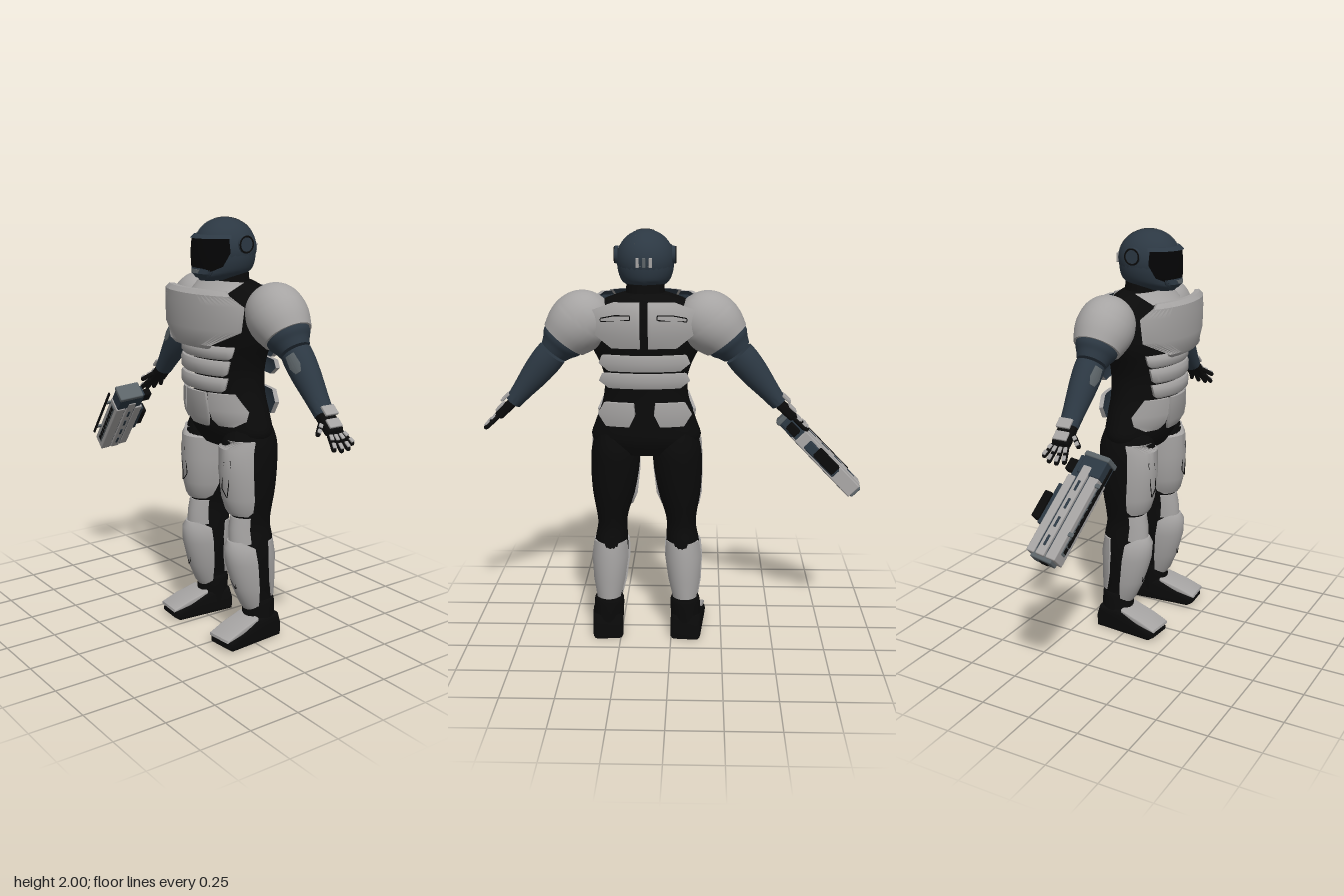
import * as THREE from 'three';
import { toCreasedNormals } from 'three/addons/utils/BufferGeometryUtils.js';
import { RoundedBoxGeometry } from 'three/addons/geometries/RoundedBoxGeometry.js';

const mat = (name, color, side = THREE.FrontSide) => {
  const m = new THREE.MeshStandardMaterial({ color, side });
  m.name = name;
  return m;
};
const grey = mat('armour grey', 0xa6a4a3);
const navy = mat('navy', 0x2c3843);
const black = mat('suit black', 0x0a0a0a);
const steel = mat('steel grey', 0x5c6468);
const visorMat = mat('visor black', 0x040405);
const D = Math.PI / 180;

function add(parent, name, geo, material, x = 0, y = 0, z = 0) {
  const m = new THREE.Mesh(geo, material);
  m.name = name;
  m.position.set(x, y, z);
  parent.add(m);
  return m;
}
const box = (w, h, d, r = 0.008) => new RoundedBoxGeometry(w, h, d, 2, Math.min(r, w / 3, h / 3, d / 3));

// Turns a list of quads into a geometry with creased normals
function fromQuads(quads, crease) {
  const pos = [];
  for (const [a, b, c, d] of quads) for (const p of [a, b, c, a, c, d]) pos.push(...p);
  const g = new THREE.BufferGeometry();
  g.setAttribute('position', new THREE.Float32BufferAttribute(pos, 3));
  return toCreasedNormals(g, crease);
}

// Curved plate from a point rule P(row, column, layer); the inner face takes the second material
function slab(P, nr, nc) {
  const outer = [], inner = [];
  for (let i = 0; i < nr; i++) for (let j = 0; j < nc; j++) {
    outer.push([P(i, j, 0), P(i + 1, j, 0), P(i + 1, j + 1, 0), P(i, j + 1, 0)]);
    inner.push([P(i, j, 1), P(i, j + 1, 1), P(i + 1, j + 1, 1), P(i + 1, j, 1)]);
  }
  for (let j = 0; j < nc; j++) {
    outer.push([P(0, j, 0), P(0, j + 1, 0), P(0, j + 1, 1), P(0, j, 1)]);
    outer.push([P(nr, j, 1), P(nr, j + 1, 1), P(nr, j + 1, 0), P(nr, j, 0)]);
  }
  for (let i = 0; i < nr; i++) {
    outer.push([P(i + 1, 0, 0), P(i, 0, 0), P(i, 0, 1), P(i + 1, 0, 1)]);
    outer.push([P(i + 1, nc, 1), P(i, nc, 1), P(i, nc, 0), P(i + 1, nc, 0)]);
  }
  const g = fromQuads([...outer, ...inner], 0.7);
  g.addGroup(0, outer.length * 6, 0);
  g.addGroup(outer.length * 6, inner.length * 6, 1);
  return g;
}

// Point on an elliptical row [y, cx, cz, rx, rz] at angle a (0 = front)
const onRow = ([y, cx, cz, rx, rz], a, t = 0) => [cx + (rx - t) * Math.sin(a), y, cz + (rz - t) * Math.cos(a)];

// Armour plate from rows [y, cx, cz, rx, rz, fromDeg, toDeg], top to bottom
function plate(parent, name, rows, s = 1, t = 0.015, mats = [grey, navy], n = 14) {
  const R = rows.map(([y, cx, cz, rx, rz, a, b]) => [y, s * cx, cz, rx, rz, s > 0 ? a : -b, s > 0 ? b : -a]);
  const P = (i, j, l) => onRow(R[i], (R[i][5] + (R[i][6] - R[i][5]) * j / n) * D, l * t);
  return add(parent, name, slab(P, R.length - 1, n), mats);
}

// Smooth closed body through elliptical rows, top to bottom
function loft(rows, s = 1, n = 28, k = 4) {
  const fine = [];
  const at = i => rows[Math.max(0, Math.min(rows.length - 1, i))];
  for (let i = 0; i < rows.length - 1; i++) for (let q = 0; q < k; q++) {
    const t = q / k;
    fine.push(at(i).map((p1, c) => {
      const p0 = at(i - 1)[c], p2 = at(i + 1)[c], p3 = at(i + 2)[c];
      return p1 + 0.5 * t * (p2 - p0 + t * (2 * p0 - 5 * p1 + 4 * p2 - p3 + t * (3 * (p1 - p2) + p3 - p0)));
    }));
  }
  fine.push(at(rows.length - 1));
  for (const r of fine) r[1] = s * Math.abs(r[1]) * Math.sign(r[1] || 1);
  const quads = [], last = fine.length - 1;
  const P = (i, j) => onRow(fine[i], (j % n) / n * 2 * Math.PI);
  const mid = i => [fine[i][1], fine[i][0], fine[i][2]];
  for (let j = 0; j < n; j++) {
    for (let i = 0; i < last; i++) quads.push([P(i, j), P(i + 1, j), P(i + 1, j + 1), P(i, j + 1)]);
    quads.push([mid(0), P(0, j), P(0, j + 1), mid(0)], [mid(last), P(last, j + 1), P(last, j), mid(last)]);
  }
  return fromQuads(quads, 0.9);
}

// Side profile (z, y) given a width across x
function sideExtrude(pts, width, bevel) {
  const g = new THREE.ExtrudeGeometry(new THREE.Shape(pts.map(p => new THREE.Vector2(...p))),
    { depth: width - 2 * bevel, bevelThickness: bevel, bevelSize: bevel, bevelOffset: -bevel, bevelSegments: 3 });
  g.translate(0, 0, bevel - width / 2).rotateY(-Math.PI / 2);
  return toCreasedNormals(g, 0.7);
}

function seam(parent, name, pts) {
  const c = new THREE.CatmullRomCurve3(pts.map(p => new THREE.Vector3(...p)), true, 'catmullrom', 0.02);
  add(parent, name, new THREE.TubeGeometry(c, 48, 0.0025, 4, true), black);
}

function head(body) {
  const g = new THREE.Group();
  g.name = 'head';
  body.add(g);
  const a = 0.135, b = 0.138, c = 0.152, cy = 1.862;
  add(g, 'helmetDome', new THREE.SphereGeometry(1, 36, 24).scale(a, b, c), navy, 0, cy, 0);
  add(g, 'helmetJaw', loft([[1.88, 0, 0, 0.133, 0.148], [1.82, 0, 0, 0.131, 0.147], [1.77, 0, 0.005, 0.115, 0.138],
    [1.745, 0, 0.025, 0.09, 0.12], [1.722, 0, 0.06, 0.05, 0.07]]), navy);
  plate(g, 'visor', [[1.915, 0, 0, 0.134, 0.158, -66, 66], [1.85, 0, 0, 0.14, 0.163, -68, 68],
    [1.79, 0, 0, 0.136, 0.162, -56, 56], [1.765, 0, 0, 0.13, 0.158, -32, 32]], 1, 0.02, [visorMat, visorMat]);
  plate(g, 'browGuard', [[1.928, 0, 0, 0.126, 0.146, -70, 70], [1.912, 0, 0, 0.14, 0.166, -70, 70]], 1, 0.02, [navy, navy]);
  plate(g, 'chinGuard', [[1.785, 0, 0.01, 0.125, 0.15, -42, 42], [1.755, 0, 0.015, 0.11, 0.15, -42, 42],
    [1.735, 0, 0.015, 0.095, 0.13, -30, 30]], 1, 0.02, [navy, navy]);
  plate(g, 'mouthVent', [[1.775, 0, 0.01, 0.125, 0.156, -14, 14], [1.758, 0, 0.01, 0.12, 0.158, -10, 10]], 1, 0.01, [steel, steel]);
  // Crest band running over the dome
  const P = (i, j, l) => {
    const x = -0.042 + 0.084 * j / 4, th = (28 + 160 * i / 24) * D;
    const k = Math.sqrt(1 - (x / a) ** 2) * (l ? 0.95 : 1.02);
    return [x, cy + b * k * Math.sin(th), c * k * Math.cos(th)];
  };
  add(g, 'crestBand', slab(P, 24, 4), [steel, steel]);
  for (const x of [-0.03, 0, 0.03]) add(g, 'rearVent', box(0.015, 0.045, 0.012, 0.003), x ? grey : steel, x, 1.86, -0.155);
  for (const s of [-1, 1]) {
    add(g, 'earDisc', new THREE.CylinderGeometry(0.04, 0.042, 0.016, 24).rotateZ(-s * Math.PI / 2), navy, s * 0.133, 1.885, -0.02);
    add(g, 'earRing', new THREE.TorusGeometry(0.036, 0.004, 6, 24).rotateY(Math.PI / 2), black, s * 0.141, 1.885, -0.02);
  }
  add(g, 'neck', new THREE.CylinderGeometry(0.085, 0.1, 0.14, 24), black, 0, 1.71, -0.03);
}

function torso(body) {
  add(body, 'torsoSuit', loft([[1.715, 0, -0.05, 0.11, 0.08], [1.68, 0, -0.055, 0.2, 0.11], [1.6, 0, -0.045, 0.26, 0.145],
    [1.48, 0, -0.035, 0.262, 0.155], [1.38, 0, -0.03, 0.218, 0.15], [1.3, 0, -0.03, 0.197, 0.145], [1.2, 0, -0.03, 0.207, 0.145],
    [1.1, 0, -0.035, 0.242, 0.15], [1.02, 0, -0.04, 0.262, 0.145], [0.95, 0, -0.04, 0.2, 0.11]]), black);
  plate(body, 'collar', [[1.72, 0, -0.02, 0.18, 0.1, -70, 70], [1.67, 0, 0, 0.2, 0.13, -45, 45]]);
  plate(body, 'chestPlate', [[1.695, 0, 0.02, 0.32, 0.19, -44, 44], [1.675, 0, 0.03, 0.33, 0.2, -50, 50],
    [1.63, 0, 0.03, 0.332, 0.202, -66, 66], [1.52, 0, 0.03, 0.33, 0.2, -63, 63], [1.45, 0, 0.03, 0.32, 0.19, -30, 30],
    [1.432, 0, 0.03, 0.31, 0.175, -25, 25]], 1, 0.025, [grey, navy], 24);
  // Stomach and lower back bands
  [[1.435, 1.378, 43], [1.37, 1.302, 39], [1.292, 1.228, 37]].forEach(([t, b, w]) => plate(body, 'stomachBand',
    [[t, 0, -0.12, 0.3, 0.292, -w, w], [t - 0.015, 0, -0.12, 0.305, 0.3, -w, w], [b + 0.012, 0, -0.12, 0.303, 0.298, 2 - w, w - 2],
      [b, 0, -0.12, 0.295, 0.288, 6 - w, w - 6]], 1, 0.022));
  [[1.44, 1.365], [1.355, 1.285]].forEach(([t, b]) => plate(body, 'lowerBackBand',
    [[t, 0, 0.1, 0.42, 0.3, 152, 208], [(t + b) / 2, 0, 0.1, 0.425, 0.307, 150, 210], [b, 0, 0.1, 0.41, 0.295, 156, 204]], 1, 0.02));
  plate(body, 'frontBeltPlate', [[1.22, 0, -0.04, 0.25, 0.212, -17, 17], [1.1, 0, -0.04, 0.26, 0.205, -20, 20],
    [1.055, 0, -0.04, 0.255, 0.18, -13, 13]]);
  for (const s of [-1, 1]) {
    plate(body, 'hipPlate', [[1.22, 0, -0.04, 0.25, 0.21, 20, 54], [1.14, 0, -0.04, 0.255, 0.21, 22, 70],
      [1.095, 0, -0.04, 0.255, 0.2, 24, 66], [1.065, 0, -0.04, 0.255, 0.18, 29, 48]], s);
    plate(body, 'upperBackPlate', [[1.685, 0, 0.1, 0.45, 0.305, 161, 177.5], [1.65, 0, 0.1, 0.45, 0.325, 148, 177.5],
      [1.54, 0, 0.1, 0.45, 0.325, 149, 177.5], [1.475, 0, 0.1, 0.44, 0.305, 160, 177.5]], s, 0.022);
    const edge = [1.62, 0, 0.1, 0.45, 0.327];
    seam(body, 'backSeam', [[1.63, 172], [1.63, 163], [1.615, 154], [1.6, 154], [1.61, 172]].map(([y, a]) =>
      onRow([y, ...edge.slice(1)], s * a * D)));
    plate(body, 'seatPlate', [[1.215, 0, 0.1, 0.42, 0.295, 153, 173], [1.16, 0, 0.1, 0.43, 0.3, 149, 174],
      [1.1, 0, 0.1, 0.42, 0.29, 154, 170]], s, 0.02);
  }
}

function leg(body, s) {
  const g = new THREE.Group();
  g.name = s > 0 ? 'leftLeg' : 'rightLeg';
  body.add(g);
  add(g, 'legSuit', loft([[1.08, 0.15, -0.04, 0.08, 0.1], [0.98, 0.148, -0.04, 0.114, 0.138], [0.88, 0.152, -0.04, 0.118, 0.138],
    [0.75, 0.16, -0.04, 0.104, 0.125], [0.63, 0.168, -0.04, 0.077, 0.104], [0.57, 0.17, -0.04, 0.072, 0.098],
    [0.5, 0.175, -0.04, 0.08, 0.108], [0.42, 0.18, -0.04, 0.084, 0.108], [0.3, 0.185, -0.055, 0.074, 0.092],
    [0.2, 0.188, -0.07, 0.06, 0.078], [0.06, 0.19, -0.07, 0.06, 0.075]], s), black);
  plate(g, 'thighPlate', [[1.0, 0.155, -0.03, 0.118, 0.125, 0, 70], [0.96, 0.153, -0.03, 0.126, 0.145, -72, 68],
    [0.85, 0.156, -0.03, 0.126, 0.15, -80, 68], [0.72, 0.161, -0.03, 0.116, 0.138, -80, 70], [0.66, 0.165, -0.03, 0.1, 0.122, -70, 68],
    [0.638, 0.167, -0.03, 0.09, 0.108, -50, 55]], s);
  plate(g, 'kneePlate', [[0.625, 0.168, -0.035, 0.078, 0.105, -62, 62], [0.57, 0.17, -0.035, 0.078, 0.116, -62, 62],
    [0.5, 0.174, -0.035, 0.078, 0.12, -66, 66]], s);
  plate(g, 'shinPlate', [[0.51, 0.175, -0.035, 0.075, 0.13, -45, 45], [0.48, 0.177, -0.035, 0.092, 0.146, -74, 74],
    [0.4, 0.18, -0.035, 0.096, 0.14, -78, 78], [0.27, 0.186, -0.05, 0.084, 0.118, -76, 76], [0.18, 0.19, -0.06, 0.066, 0.088, -70, 70],
    [0.155, 0.19, -0.065, 0.06, 0.075, -50, 50]], s);
  plate(g, 'calfPlate', [[0.5, 0.177, -0.035, 0.092, 0.11, 118, 242], [0.42, 0.18, -0.035, 0.097, 0.122, 112, 248],
    [0.3, 0.185, -0.05, 0.084, 0.106, 112, 248], [0.21, 0.188, -0.065, 0.068, 0.088, 122, 238]], s);
  seam(g, 'thighSeam', [[0.9, 2], [0.91, 22], [0.73, 12], [0.77, -6]].map(([y, a]) => onRow([y, s * 0.157, -0.03, 0.121, 0.146], s * a * D)));
  seam(g, 'shinSeam', [[0.44, -8], [0.46, 22], [0.27, 10], [0.31, -8]].map(([y, a]) =>
    onRow([y, s * 0.182, -0.04, 0.091, 0.138 - (0.44 - y) * 0.16], s * a * D)));
  // Boot
  add(g, 'bootCuff', loft([[0.2, 0.19, -0.072, 0.068, 0.076], [0.17, 0.19, -0.072, 0.074, 0.08], [0.04, 0.197, -0.07, 0.074, 0.08]], s), black);
  const foot = new THREE.Group();
  foot.name = 'foot';
  foot.position.set(s * 0.203, 0, 0);
  foot.rotation.y = s * 0.08;
  g.add(foot);
  add(foot, 'bootSole', sideExtrude([[-0.155, 0], [0.15, 0], [0.178, 0.02], [0.175, 0.05], [0.09, 0.08], [0.0, 0.12], [-0.14, 0.12],
    [-0.158, 0.06]], 0.15, 0.02), black);
  add(foot, 'toePlate', sideExtrude([[0.185, 0.052], [0.182, 0.064], [0.1, 0.097], [-0.01, 0.128], [-0.01, 0.1], [0.09, 0.07]], 0.138, 0.006), grey);
}

function arm(body, s) {
  const g = new THREE.Group();
  g.name = s > 0 ? 'leftArm' : 'rightArm';
  g.position.set(s * 0.3, 1.6, -0.07);
  g.rotation.z = s * 39.3 * D;
  body.add(g);
  add(g, 'shoulderGuard', loft([[0.138, -0.02, 0, 0.006, 0.006], [0.125, -0.02, 0, 0.06, 0.055], [0.095, -0.02, 0, 0.105, 0.095],
    [0.05, -0.018, 0, 0.135, 0.122], [-0.01, -0.014, 0, 0.147, 0.134], [-0.07, -0.008, 0, 0.138, 0.13], [-0.13, -0.003, 0, 0.116, 0.112]], s, 32), grey);
  add(g, 'upperArm', loft([[-0.1, -0.001, 0, 0.108, 0.1], [-0.145, -0.001, 0, 0.105, 0.096], [-0.175, -0.001, 0, 0.087, 0.082],
    [-0.205, -0.001, 0, 0.073, 0.07]], s), navy);
  add(g, 'forearm', loft([[-0.218, 0.001, 0, 0.072, 0.068], [-0.27, 0.001, 0, 0.073, 0.068], [-0.35, 0.001, 0, 0.066, 0.062],
    [-0.45, 0.001, 0, 0.05, 0.052], [-0.525, 0.001, 0, 0.04, 0.046]], s), navy);
  plate(g, 'forearmPatch', [[-0.235, 0, 0, 0.077, 0.073, 5, 40], [-0.29, 0, 0, 0.077, 0.072, 0, 45], [-0.325, 0, 0, 0.073, 0.068, 12, 35]],
    s, 0.01, [steel, steel]);
  // Hand with armoured, spread fingers
  const h = new THREE.Group();
  h.name = 'hand';
  h.position.y = -0.52;
  h.rotation.z = s * 8 * D;
  g.add(h);
  add(h, 'palm', box(0.045, 0.11, 0.088, 0.015), black, 0, -0.05, 0);
  add(h, 'wristPlate', box(0.014, 0.05, 0.07, 0.004), grey, s * 0.042, -0.012, 0);
  add(h, 'handPlate', box(0.012, 0.045, 0.07, 0.004), grey, s * 0.026, -0.068, 0);
  const digits = [[0.034, 0.26, 0.092, -0.1], [0.012, 0.08, 0.1, -0.1], [-0.012, -0.1, 0.096, -0.1], [-0.034, -0.3, 0.08, -0.098], [0.045, 0.75, 0.075, -0.045]];
  for (const [z, spread, len, y] of digits) {
    const f = new THREE.Group();
    f.name = 'finger';
    f.position.set(0, y, z);
    f.rotation.x = -spread;
    h.add(f);
    add(f, 'fingerGlove', new THREE.CapsuleGeometry(0.0115, len - 0.02, 4, 10), black, 0, -len / 2, 0);
    for (const k of [0.3, 0.75]) add(f, 'fingerPlate', box(0.008, len * 0.3, 0.018, 0.003), grey, s * 0.012, -len * k, 0);
  }
}

function rifle(root) {
  const g = new THREE.Group();
  g.name = 'rifle';
  g.position.set(-0.725, 0.91, 0.065);
  g.rotation.set(0, -8 * D, 45 * D, 'ZYX');
  root.add(g);
  const part = (name, m, w, h, d, x, y, z) => add(g, name, box(w, h, d, 0.006), m, x, y, z);
  part('rifleCore', navy, 0.47, 0.06, 0.13, 0, 0, 0);
  part('frontCasing', grey, 0.4, 0.084, 0.05, -0.05, 0, 0.058);
  part('middleCasing', grey, 0.44, 0.088, 0.045, -0.03, 0, 0.002);
  part('rearCasing', grey, 0.38, 0.076, 0.04, -0.06, 0, -0.052);
  part('muzzle', steel, 0.05, 0.06, 0.11, -0.242, 0, 0.01);
  part('muzzleBore', black, 0.012, 0.03, 0.04, -0.266, 0, 0.02);
  part('stock', navy, 0.1, 0.08, 0.12, 0.2, 0, 0.02);
  part('stockEnd', steel, 0.025, 0.088, 0.13, 0.245, 0, 0.02);
  part('gripBar', black, 0.06, 0.04, 0.07, 0.18, 0, -0.08);
  part('underBody', navy, 0.2, 0.05, 0.03, -0.02, 0, -0.085);
  part('magazine', black, 0.13, 0.055, 0.04, -0.04, 0.012, -0.115);
  part('sightRail', black, 0.39, 0.014, 0.008, 0.02, 0.035, 0.112);
  for (const x of [-0.12, 0.12]) part('railMount', steel, 0.02, 0.012, 0.035, x, 0.035, 0.095);
  part('ventStrip', steel, 0.34, 0.034, 0.006, -0.04, 0, 0.083);
  for (let i = 0; i < 9; i++) part('ventSlot', black, 0.026, 0.022, 0.006, -0.185 + i * 0.036, 0, 0.086);
  for (const y of [-1, 1]) for (let i = 0; i < 4; i++) part('sideStud', navy, 0.05, 0.006, 0.012, -0.18 + i * 0.09, y * 0.044, 0.004);
}

export function createModel() {
  const root = new THREE.Group();
  root.name = 'armouredSoldier';
  const body = new THREE.Group();
  body.name = 'body';
  body.position.x = 0.12;
  root.add(body);
  head(body);
  torso(body);
  for (const s of [-1, 1]) {
    leg(body, s);
    arm(body, s);
  }
  rifle(root);
  return root;
}
